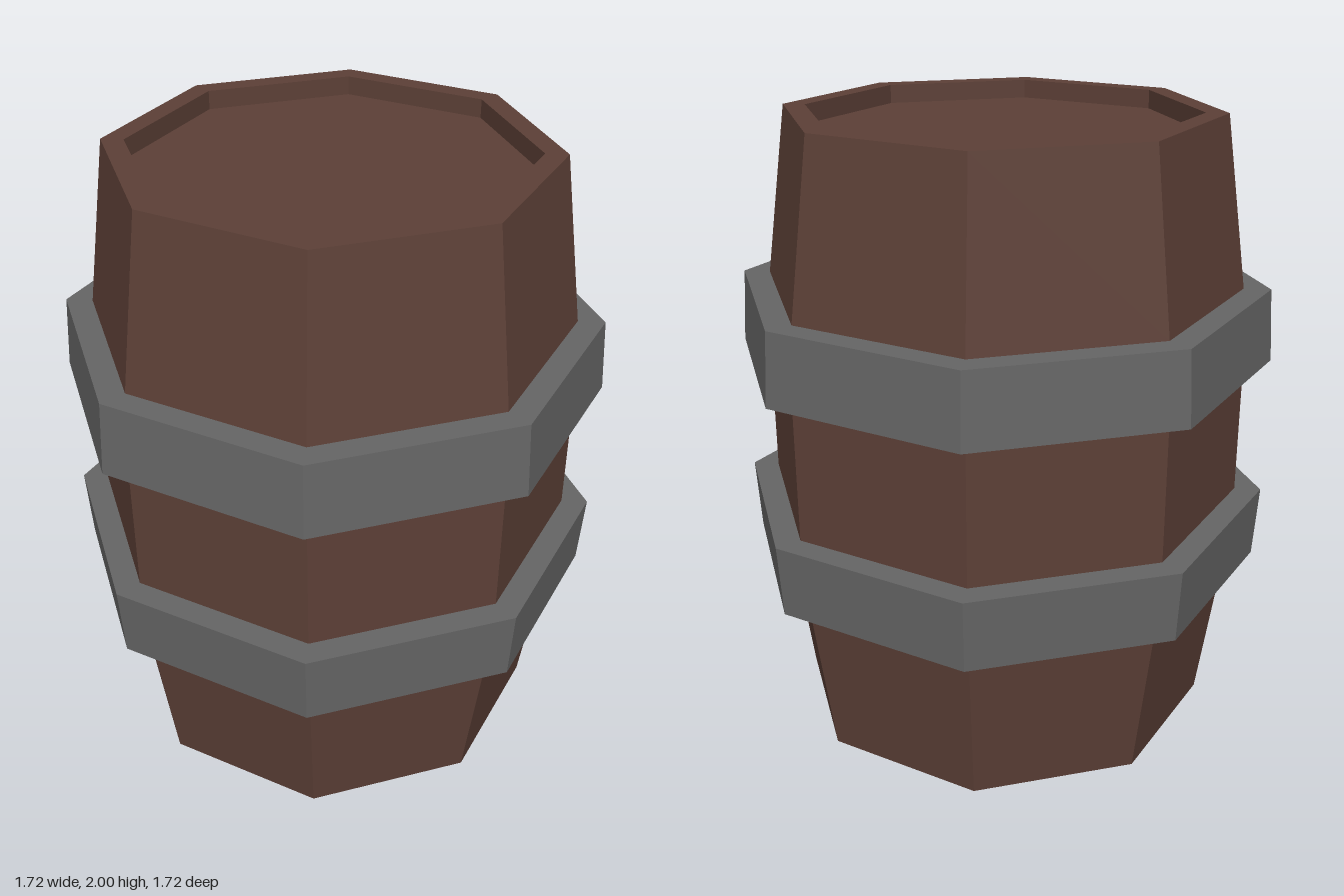
import * as THREE from 'three';

const SIDES = 8;

// Eight-sided faceted ring or solid from [radius, height] pairs running upward on the outside
function turned(name, profile, material) {
  const points = profile.map(([r, y]) => new THREE.Vector2(r, y));
  const mesh = new THREE.Mesh(new THREE.LatheGeometry(points, SIDES), material);
  mesh.name = name;
  return mesh;
}

export function createModel() {
  const wood = new THREE.MeshStandardMaterial({ color: 0x5d4037, flatShading: true });
  const iron = new THREE.MeshStandardMaterial({ color: 0x666666, flatShading: true });
  const barrel = new THREE.Group();
  barrel.name = 'barrel';

  // Bulging staves with a raised rim around each recessed end
  const lower = [[0, 0.06], [0.615, 0.06], [0.615, 0], [0.685, 0], [0.762, 0.54], [0.777, 0.77]];
  const upper = lower.map(([r, y]) => [r, 2 - y]).reverse();
  barrel.add(turned('woodenBody', [...lower, ...upper], wood));

  // Hoops, each tapering away from the middle
  const hoop = [[0.762, 0.54], [0.847, 0.54], [0.862, 0.773], [0.775, 0.773]];
  barrel.add(turned('lowerHoop', hoop, iron));
  barrel.add(turned('upperHoop', hoop.map(([r, y]) => [r, 2 - y]).reverse(), iron));

  return barrel;
}
